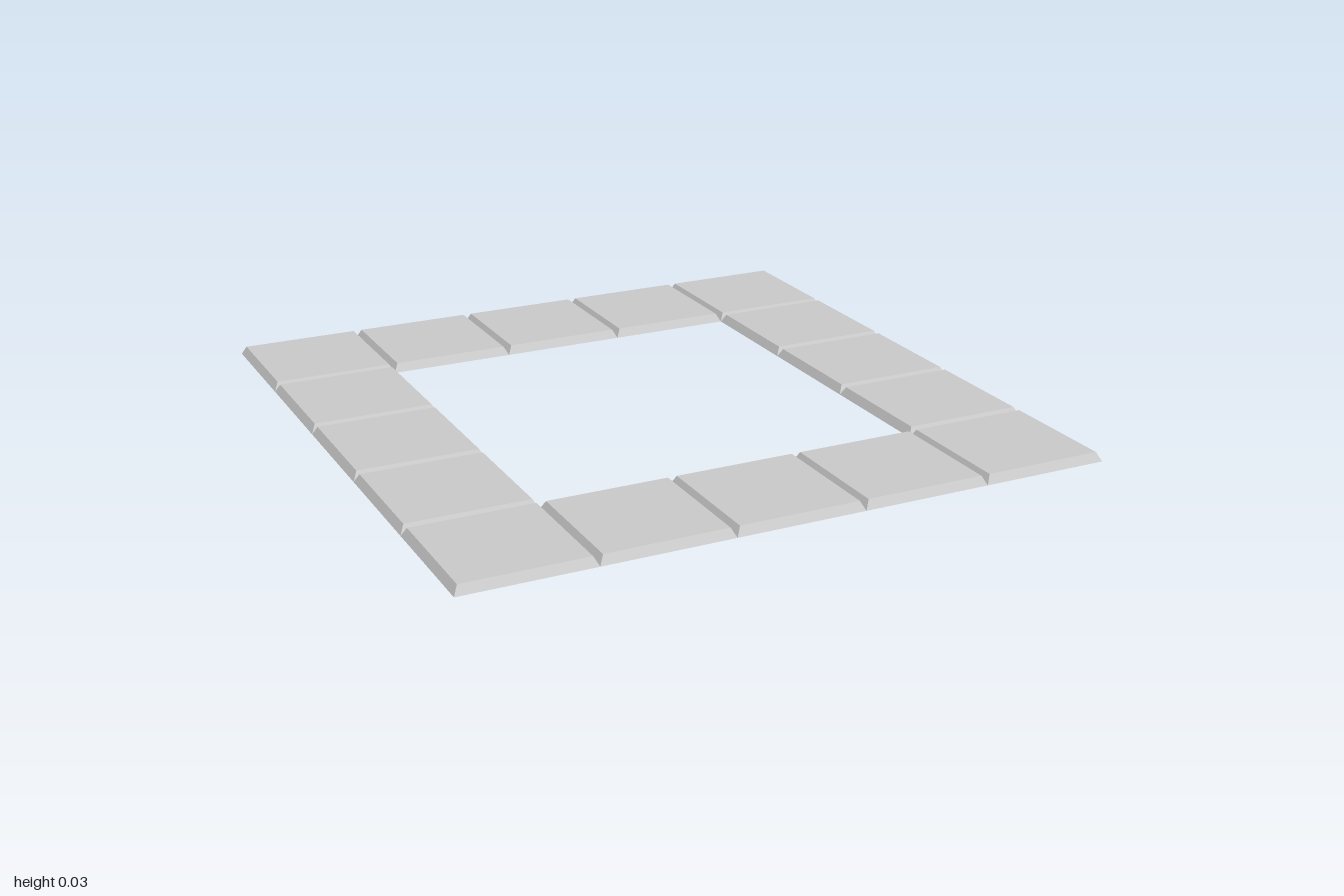
import * as THREE from 'three';

const TILE = 0.4, HEIGHT = 0.027, BEVEL = 0.014, COUNT = 5;

// Flat square tile whose four sides slope inward to the top
function tileGeometry() {
  const geometry = new THREE.BoxGeometry(TILE, HEIGHT, TILE).toNonIndexed();
  geometry.translate(0, HEIGHT / 2, 0);
  const p = geometry.attributes.position;
  const scale = (TILE - 2 * BEVEL) / TILE;
  for (let i = 0; i < p.count; i++) {
    if (p.getY(i) > HEIGHT / 2) {
      p.setX(i, p.getX(i) * scale);
      p.setZ(i, p.getZ(i) * scale);
    }
  }
  geometry.computeVertexNormals();
  return geometry;
}

export function createModel() {
  const model = new THREE.Group();
  model.name = 'squareTileRing';
  const geometry = tileGeometry();
  const material = new THREE.MeshStandardMaterial({ color: 0xcccccc, flatShading: true });

  // Border cells of a 5 x 5 grid, leaving the middle open
  const last = COUNT - 1;
  for (let row = 0; row < COUNT; row++) {
    for (let col = 0; col < COUNT; col++) {
      const edgeRow = row === 0 || row === last;
      const edgeCol = col === 0 || col === last;
      if (!edgeRow && !edgeCol) continue;
      const tile = new THREE.Mesh(geometry, material);
      tile.name = edgeRow && edgeCol ? 'cornerTile' : 'edgeTile';
      tile.position.set((col - last / 2) * TILE, 0, (row - last / 2) * TILE);
      model.add(tile);
    }
  }
  return model;
}
